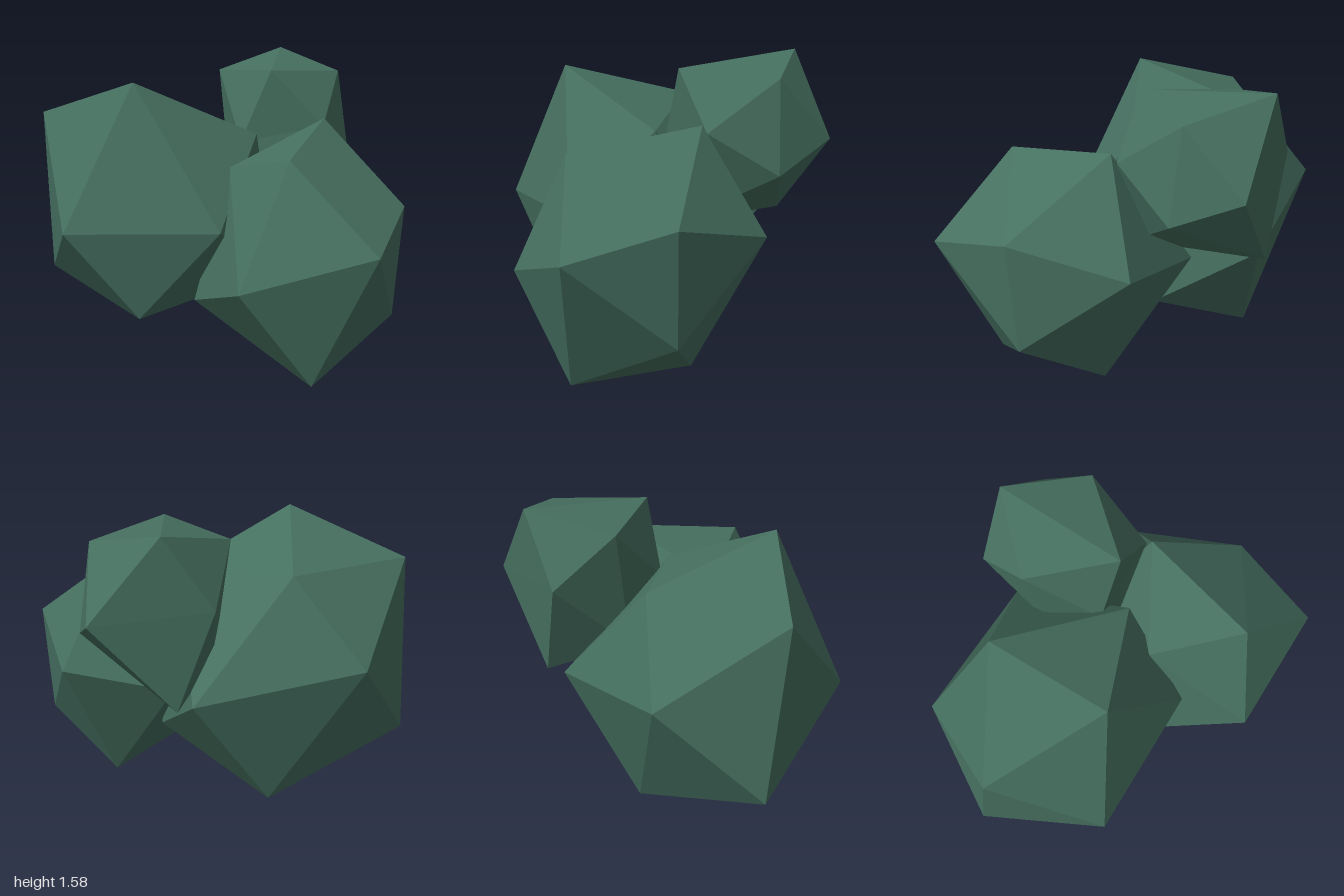
import * as THREE from 'three';

// Irregular twenty-sided rock: a top point, two staggered rings of five
// (counter-clockwise seen from the top point) and the opposite point.
function rockGeometry(top, upper, lower, base) {
  const corners = [];
  for (let i = 0; i < 5; i++) {
    const j = (i + 1) % 5;
    corners.push(
      top, upper[i], upper[j],
      upper[i], lower[i], upper[j],
      upper[j], lower[i], lower[j],
      lower[j], lower[i], base
    );
  }
  const geometry = new THREE.BufferGeometry();
  geometry.setAttribute('position', new THREE.Float32BufferAttribute(corners.flat(), 3));
  geometry.computeVertexNormals();
  return geometry;
}

const rocks = {
  // Large lump on the model's right
  largeLump: [
    [-0.40, 1.47, 0.27],
    [[-0.99, 1.26, -0.06], [-0.74, 0.70, 0.47], [0.08, 0.73, 0.45], [0.215, 1.175, 0.01], [-0.36, 1.28, -0.465]],
    [[-1.00, 0.33, -0.18], [-0.37, 0.215, 0.35], [0.31, 0.36, -0.18], [0.137, 0.68, -0.695], [-0.717, 0.845, -0.645]],
    [-0.257, 0.05, -0.47],
  ],
  // Lump at the front left
  frontLump: [
    [0.437, 1.147, 0.594],
    [[0.57, 1.255, -0.075], [0.096, 1.027, 0.206], [0.217, 0.524, 0.80], [0.877, 0.735, 0.80], [1.00, 0.866, 0.273]],
    [[0.24, 0.625, -0.36], [-0.085, 0.31, 0.27], [0.565, 0.01, 0.637], [0.96, 0.275, 0.25], [0.82, 0.72, -0.31]],
    [0.58, 0.0, -0.024],
  ],
  // Small lump raised at the back
  backLump: [
    [0.272, 1.575, -0.80],
    [[0.28, 1.505, -0.09], [0.628, 1.47, -0.483], [0.626, 1.142, -0.80], [0.025, 1.21, -0.78], [-0.053, 1.47, -0.457]],
    [[0.567, 1.21, -0.105], [0.70, 0.987, -0.45], [0.21, 0.687, -0.757], [0.03, 0.80, -0.35], [0.115, 1.11, -0.10]],
    [0.33, 0.70, -0.06],
  ],
};

export function createModel() {
  const group = new THREE.Group();
  group.name = 'lumpCluster';
  const green = new THREE.MeshStandardMaterial({ color: 0x467060, flatShading: true });
  green.name = 'dark green';
  for (const [name, points] of Object.entries(rocks)) {
    const mesh = new THREE.Mesh(rockGeometry(...points), green);
    mesh.name = name;
    group.add(mesh);
  }
  return group;
}
